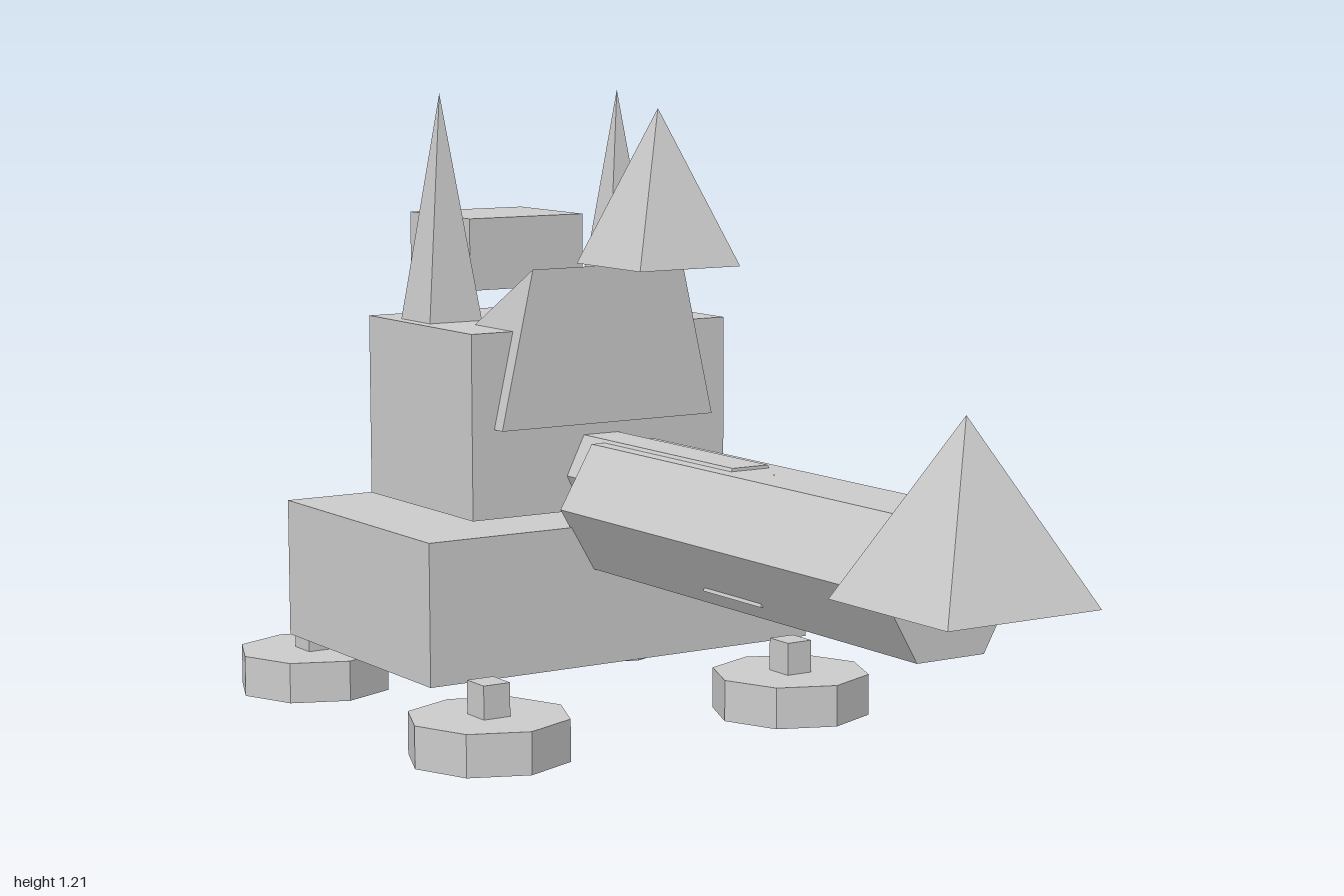
import * as THREE from 'three';

export function createModel() {
  const model = new THREE.Group();
  const grey = new THREE.MeshStandardMaterial({ color: 0xcccccc, flatShading: true });
  grey.name = 'plain grey';

  const add = (name, geometry, x = 0, y = 0, z = 0) => {
    const mesh = new THREE.Mesh(geometry, grey);
    mesh.name = name;
    mesh.position.set(x, y, z);
    model.add(mesh);
    return mesh;
  };

  // Box given by its limits on each axis
  const box = (name, x0, x1, y0, y1, z0, z1) =>
    add(name, new THREE.BoxGeometry(x1 - x0, y1 - y0, z1 - z0), (x0 + x1) / 2, (y0 + y1) / 2, (z0 + z1) / 2);

  // Square pyramid with sides along x and z, standing at height y0
  const pyramid = (name, x, z, half, y0, y1) => {
    const g = new THREE.ConeGeometry(half * Math.SQRT2, y1 - y0, 4).toNonIndexed();
    g.rotateY(Math.PI / 4);
    g.computeVertexNormals();
    return add(name, g, x, (y0 + y1) / 2, z);
  };

  // Prism along z from an outline in x and y
  const prism = (points, z0, z1) => {
    const shape = new THREE.Shape(points.map(([x, y]) => new THREE.Vector2(x, y)));
    const g = new THREE.ExtrudeGeometry(shape, { depth: z1 - z0, bevelEnabled: false });
    return g.translate(0, 0, z0);
  };
  const hexagon = (r, h, y) =>
    [[r, y], [r / 2, y + h], [-r / 2, y + h], [-r, y], [-r / 2, y - h], [r / 2, y - h]];

  // Hull
  box('base', -0.427, 0.427, 0.13, 0.402, -0.78, -0.197);
  box('body', -0.285, 0.285, 0.417, 0.772, -0.692, -0.283);
  box('topBox', -0.13, 0.13, 0.823, 0.965, -0.803, -0.56);
  box('sideBox', 0.137, 0.244, 0.572, 0.688, -0.903, -0.845);

  // Face wedge: upright front that slopes down to a low back edge
  const wedge = prism([[-0.237, 0.588], [0.237, 0.588], [0.168, 0.89], [-0.168, 0.89]], -0.7, -0.253);
  const p = wedge.attributes.position;
  for (let i = 0; i < p.count; i++) {
    if (p.getZ(i) < -0.6 && p.getY(i) > 0.7) p.setXYZ(i, Math.sign(p.getX(i)) * 0.237, 0.588, -0.7);
  }
  wedge.computeVertexNormals();
  add('faceWedge', wedge);

  // Barrel with a thinner one set into its top
  add('barrel', prism(hexagon(0.14, 0.12, 0.437), -0.204, 0.808));
  add('innerBarrel', prism(hexagon(0.077, 0.077, 0.486), -0.33, 0.224));

  // Spikes
  pyramid('barrelTip', 0, 0.841, 0.159, 0.414, 0.727);
  pyramid('barrelCore', 0, 0.298, 0.091, 0.343, 0.559);
  pyramid('floatingSpike', 0, -0.08, 0.11, 0.904, 1.194);
  pyramid('tailSpike', 0, -0.675, 0.089, 0.4, 0.68);
  for (const s of [-1, 1]) pyramid('horn', s * 0.203, -0.545, 0.058, 0.77, 1.212);

  // Wheels lying flat on short stems
  for (const x of [-0.342, 0.342]) {
    for (const z of [-0.843, -0.13]) {
      add('wheel', new THREE.CylinderGeometry(0.156, 0.156, 0.081, 8), x, 0.0405, z);
      box('wheelStem', x - 0.028, x + 0.028, 0.07, 0.145, z - 0.031, z + 0.031);
    }
  }
  return model;
}
